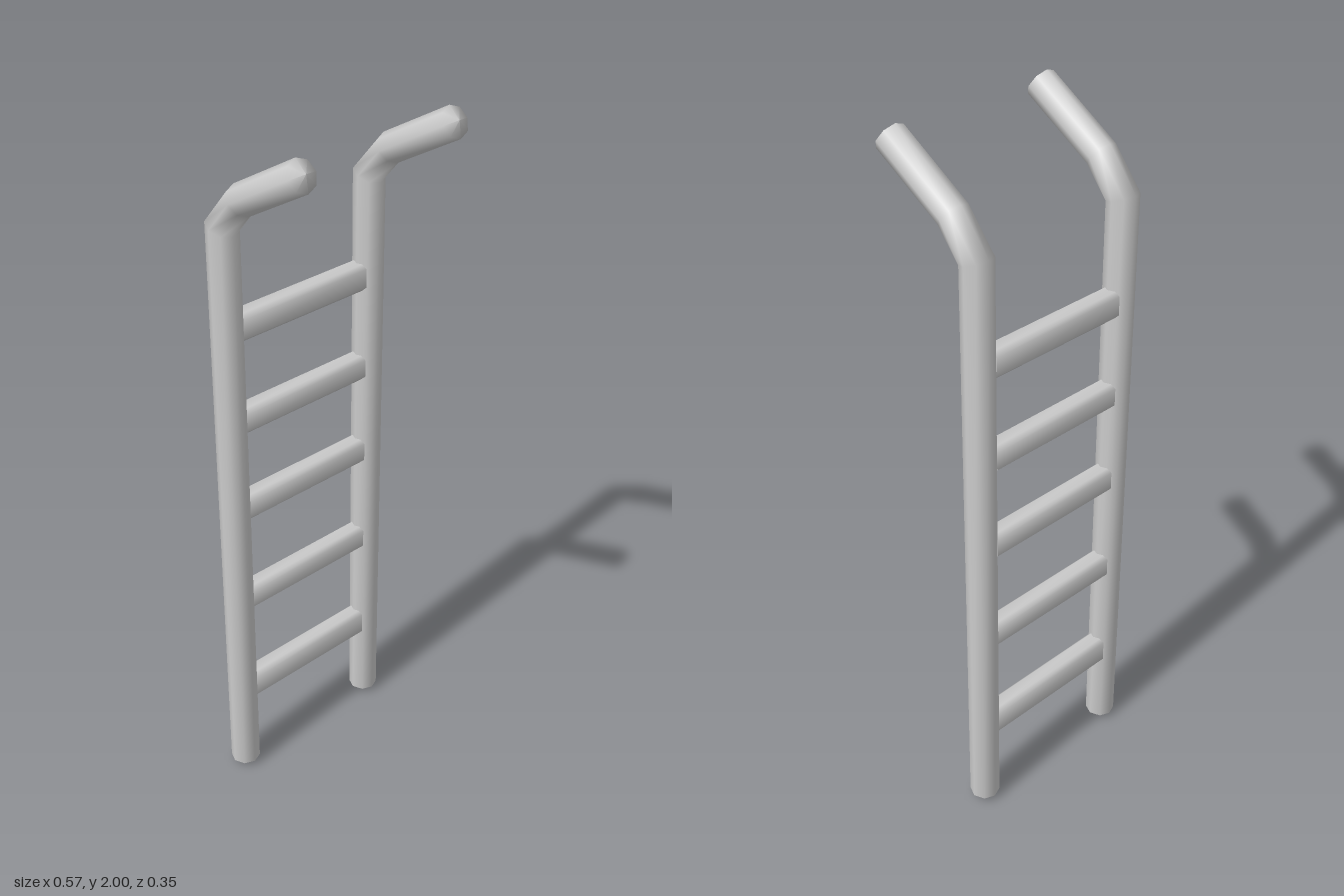
import * as THREE from 'three';
import { toCreasedNormals } from 'three/addons/utils/BufferGeometryUtils.js';

const RAIL_R = 0.0425, SIDES = 8;

// Rail centre line as [y, z, radius]; zero radius closes each end in a blunt tip
const RAIL = [
  [0, -0.137, 0], [0.018, -0.137, RAIL_R], [1.75, -0.137, RAIL_R],
  [1.84, -0.06, RAIL_R], [1.964, 0.154, RAIL_R], [1.972, 0.168, 0],
];

// Octagonal rings along the centre line, mitred at the bends
function railGeometry() {
  const pos = [], idx = [], n = RAIL.length;
  const dir = i => new THREE.Vector2(RAIL[i + 1][0] - RAIL[i][0], RAIL[i + 1][1] - RAIL[i][1]).normalize();
  RAIL.forEach(([y, z, r], i) => {
    const before = dir(Math.max(i - 1, 0)), after = dir(Math.min(i, n - 2));
    const t = before.clone().add(after).normalize();
    const miter = r / t.dot(after);
    for (let j = 0; j < SIDES; j++) {
      const a = (j / SIDES) * Math.PI * 2, s = Math.sin(a) * miter;
      pos.push(Math.cos(a) * r, y + t.y * s, z - t.x * s);
    }
  });
  for (let i = 0; i < n - 1; i++) {
    for (let j = 0; j < SIDES; j++) {
      const k = (j + 1) % SIDES;
      const a = i * SIDES + j, b = i * SIDES + k, c = a + SIDES, d = b + SIDES;
      if (i > 0) idx.push(a, b, d);
      if (i < n - 2) idx.push(a, d, c);
      if (i === 0) idx.splice(-3, 3, a, d, c);
    }
  }
  const geo = new THREE.BufferGeometry();
  geo.setAttribute('position', new THREE.Float32BufferAttribute(pos, 3));
  geo.setIndex(idx);
  geo.computeVertexNormals();
  return geo;
}

// Flat rung with chamfered long edges, running along x
function rungGeometry(height, depth, length) {
  const h = height / 2, d = depth / 2, c = 0.012;
  const shape = new THREE.Shape([
    [d, -h + c], [d, h - c], [d - c, h], [-d + c, h],
    [-d, h - c], [-d, -h + c], [-d + c, -h], [d - c, -h],
  ].map(p => new THREE.Vector2(...p)));
  const geo = new THREE.ExtrudeGeometry(shape, { depth: length, bevelEnabled: false });
  geo.translate(0, 0, -length / 2).rotateY(Math.PI / 2);
  return toCreasedNormals(geo, Math.PI / 3);
}

export function createModel() {
  const group = new THREE.Group();
  const mat = new THREE.MeshStandardMaterial({ color: 0xcccccc });

  // Two side rails with forward-curving handles
  const rail = railGeometry();
  for (const [name, x] of [['leftRail', 0.245], ['rightRail', -0.245]]) {
    const mesh = new THREE.Mesh(rail, mat);
    mesh.name = name;
    mesh.position.x = x;
    group.add(mesh);
  }

  // Rungs: [centre y, height], bottom to top
  const rungs = [[0.288, 0.088], [0.612, 0.077], [0.918, 0.077], [1.192, 0.075], [1.467, 0.078]];
  rungs.forEach(([y, height], i) => {
    const mesh = new THREE.Mesh(rungGeometry(height, 0.058, 0.43), mat);
    mesh.name = `rung${i + 1}`;
    mesh.position.set(0, y, -0.139);
    group.add(mesh);
  });
  return group;
}
